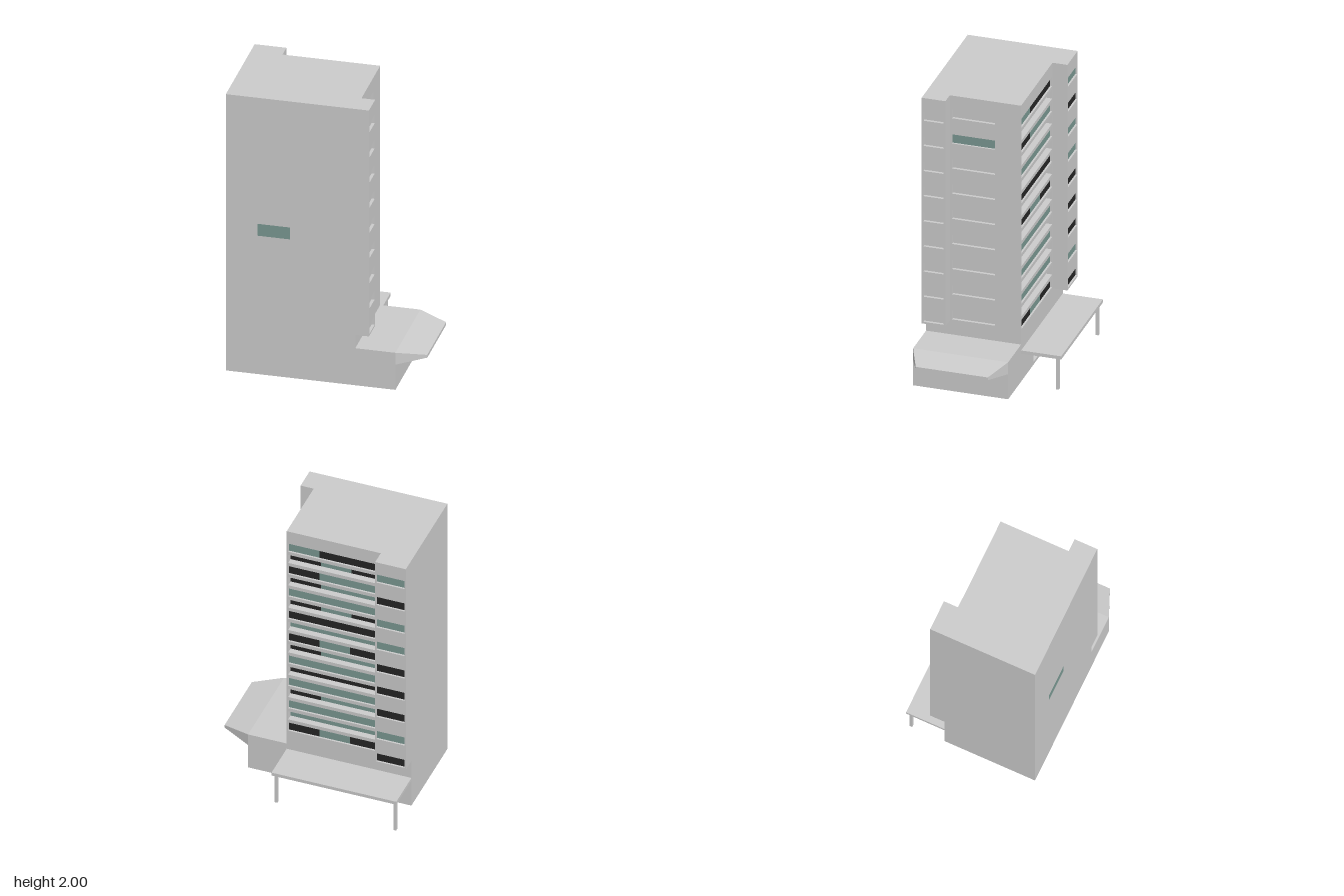
import * as THREE from 'three';

const grey = new THREE.MeshStandardMaterial({ color: 0xcccccc, flatShading: true });
const glass = new THREE.MeshStandardMaterial({ color: 0x7a9892 });
const dark = new THREE.MeshStandardMaterial({ color: 0x262626 });
const paneMaterial = { t: glass, k: dark };

export function createModel() {
  const model = new THREE.Group();
  model.name = 'towerBlock';

  const add = (parent, name, geometry, material = grey) => {
    const mesh = new THREE.Mesh(geometry, material);
    mesh.name = name;
    parent.add(mesh);
    return mesh;
  };

  // Box given by its limits on each axis
  const block = (name, x0, x1, y0, y1, z0, z1) => {
    const mesh = add(model, name, new THREE.BoxGeometry(x1 - x0, y1 - y0, z1 - z0));
    mesh.position.set((x0 + x1) / 2, (y0 + y1) / 2, (z0 + z1) / 2);
    return mesh;
  };

  const rectangle = (Type, u0, u1, v0, v1) => new Type([
    new THREE.Vector2(u0, v0), new THREE.Vector2(u1, v0),
    new THREE.Vector2(u1, v1), new THREE.Vector2(u0, v1),
  ]);

  // Wall pierced by windows; outer face at local z = 0, panes set back in the openings
  const facade = (name, [u0, u1], [y0, y1], depth, windows) => {
    const group = new THREE.Group();
    group.name = name;
    const shape = rectangle(THREE.Shape, u0, u1, y0, y1);
    for (const w of windows) {
      shape.holes.push(rectangle(THREE.Path, w.u0, w.u1, w.y - 0.0325, w.y + 0.0325));
      const panes = [...(w.panes || '')];
      const width = (w.u1 - w.u0) / panes.length;
      panes.forEach((key, i) => {
        const pane = add(group, 'windowPane', new THREE.PlaneGeometry(width, 0.065), paneMaterial[key]);
        pane.position.set(w.u0 + width * (i + 0.5), w.y, 0.002 - w.recess);
      });
    }
    const wall = new THREE.ExtrudeGeometry(shape, { depth, bevelEnabled: false });
    add(group, 'wall', wall.translate(0, 0, -depth));
    model.add(group);
    return group;
  };

  const floors = Array.from({ length: 9 }, (_, i) => 1.87 - 0.18 * i);

  // Solid cores of the tower and its two corner bays
  block('towerCore', -0.655, 0.18, 0.29, 2, -0.14, 0.455);
  block('sideBayCore', 0.2, 0.27, 0.385, 2, 0.295, 0.455);
  block('backBayCore', -0.655, -0.445, 0.385, 2, -0.265, -0.185);

  // Right side walls, one window per floor
  const side = facade('sideWall', [-0.455, 0.14], [0.29, 2], 0.02,
    floors.map((y, i) => ({ u0: -0.28, u1: 0.01, y, recess: 0.015, panes: i === 1 ? 't' : '' })));
  side.rotation.y = Math.PI / 2;
  side.position.x = 0.2;
  const sideBay = facade('sideBayWall', [-0.455, -0.295], [0.385, 2], 0.02,
    floors.map((y) => ({ u0: -0.443, u1: -0.307, y, recess: 0.02 })));
  sideBay.rotation.y = Math.PI / 2;
  sideBay.position.x = 0.29;

  // Back wall: shallow window bands alternating with deeper balcony bands
  const bands = ['tkk', 'ktk', 'ktt', 'ktt', 'ttt', 'ktk', 'kkk', 'ttt', 'ktk',
    'ktt', 'ttt', 'kkk', 'ttt', 'ktt', 'ttt', 'ttt', 'ktk'];
  const back = facade('backWall', [-0.2, 0.655], [0.29, 2], 0.045,
    bands.map((panes, i) => ({
      u0: -0.19, u1: 0.437, y: 1.87 - 0.09 * i, recess: i % 2 ? 0.045 : 0.015, panes,
    })));
  back.rotation.y = Math.PI;
  back.position.z = -0.185;
  const backBay = facade('backBayWall', [0.445, 0.655], [0.385, 2], 0.02,
    floors.map((y, i) => ({ u0: 0.453, u1: 0.647, y, recess: 0.015, panes: 'tkttkkktk'[i] })));
  backBay.rotation.y = Math.PI;
  backBay.position.z = -0.285;

  // Single window on the front
  const frontWindow = add(model, 'frontWindow', new THREE.PlaneGeometry(0.215, 0.085), glass);
  frontWindow.position.set(-0.3375, 1.0575, 0.457);

  // Base storey with an entrance recess at the back
  block('baseFloor', -0.655, 0.465, 0.025, 0.045, -0.185, 0.455);
  block('baseCeiling', -0.655, 0.465, 0.205, 0.29, -0.185, 0.455);
  const plan = new THREE.Shape([
    [-0.655, -0.455], [0.465, -0.455], [0.465, 0.185], [-0.05, 0.185],
    [-0.05, -0.01], [-0.4, -0.01], [-0.4, 0.185], [-0.655, 0.185],
  ].map(([x, y]) => new THREE.Vector2(x, y)));
  const walls = new THREE.ExtrudeGeometry(plan, { depth: 0.16, bevelEnabled: false });
  add(model, 'baseWalls', walls.rotateX(-Math.PI / 2).translate(0, 0.045, 0));

  // Tapered side canopy: the outer end of a box narrows in height and width
  const wedge = block('sideCanopy', 0.465, 0.655, 0.205, 0.29, -0.185, 0.455);
  const p = wedge.geometry.attributes.position;
  for (let i = 0; i < p.count; i++) {
    if (p.getX(i) < 0) continue;
    p.setY(i, p.getY(i) > 0 ? 0.0125 : -0.0075);
    p.setZ(i, p.getZ(i) > 0 ? 0.24 : -0.245);
  }
  wedge.geometry.computeVertexNormals();

  // Back entrance canopy on two posts
  block('backCanopy', -0.655, 0.2, 0.225, 0.248, -0.455, -0.185);
  for (const x of [-0.637, 0.177]) {
    block('canopyPost', x - 0.01, x + 0.01, 0, 0.226, -0.435, -0.415);
  }

  return model;
}
